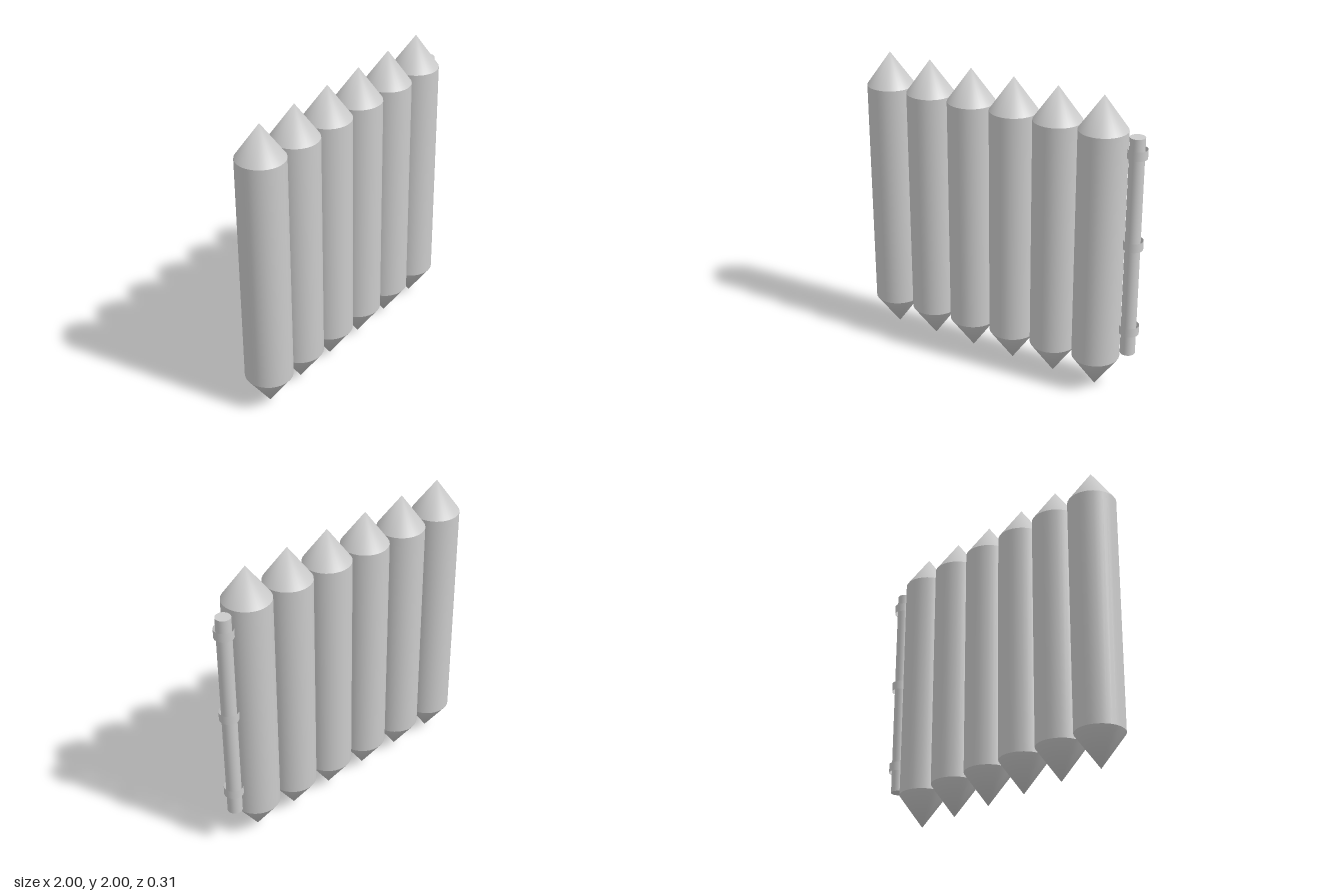
import * as THREE from 'three';
import { mergeVertices } from 'three/addons/utils/BufferGeometryUtils.js';

const POSTS = 6, SPACING = 0.314, FIRST_X = -0.844;
const RADIUS = 0.156, TIP = 0.22, HEIGHT = 2;

export function createModel() {
  const group = new THREE.Group();
  group.name = 'spikedWall';
  const solid = new THREE.MeshStandardMaterial({ color: 0xcccccc });
  const thin = new THREE.MeshStandardMaterial({ color: 0xcccccc, side: THREE.DoubleSide });

  const add = (parent, name, geometry, material, x, y, z) => {
    const mesh = new THREE.Mesh(geometry, material);
    mesh.name = name;
    mesh.position.set(x, y, z);
    parent.add(mesh);
    return mesh;
  };

  // Open shaft, and a cone smoothed over its point
  const shaft = new THREE.CylinderGeometry(RADIUS, RADIUS, HEIGHT - 2 * TIP, 32, 1, true);
  let cone = new THREE.ConeGeometry(RADIUS, TIP, 32, 1, true);
  cone.deleteAttribute('normal');
  cone.deleteAttribute('uv');
  cone = mergeVertices(cone);
  cone.computeVertexNormals();

  // Row of posts, pointed at both ends
  for (let i = 0; i < POSTS; i++) {
    const post = new THREE.Group();
    post.name = 'post' + (i + 1);
    post.position.x = FIRST_X + i * SPACING;
    add(post, 'shaft', shaft, solid, 0, HEIGHT / 2, 0);
    add(post, 'topPoint', cone, solid, 0, HEIGHT - TIP / 2, 0);
    add(post, 'bottomPoint', cone, solid, 0, TIP / 2, 0).rotation.x = Math.PI;
    group.add(post);
  }

  // Hinge: a pin held by three open sleeves
  const hinge = new THREE.Group();
  hinge.name = 'hinge';
  add(hinge, 'hingePin', new THREE.CylinderGeometry(0.049, 0.049, 1.48, 24), solid, 0.934, 1.02, -0.042);
  const sleeve = new THREE.CylinderGeometry(0.063, 0.063, 0.06, 24, 1, true);
  [1.655, 1.05, 0.452].forEach((y, i) => add(hinge, 'hingeSleeve' + (i + 1), sleeve, thin, 0.937, y, -0.045));
  group.add(hinge);

  return group;
}
